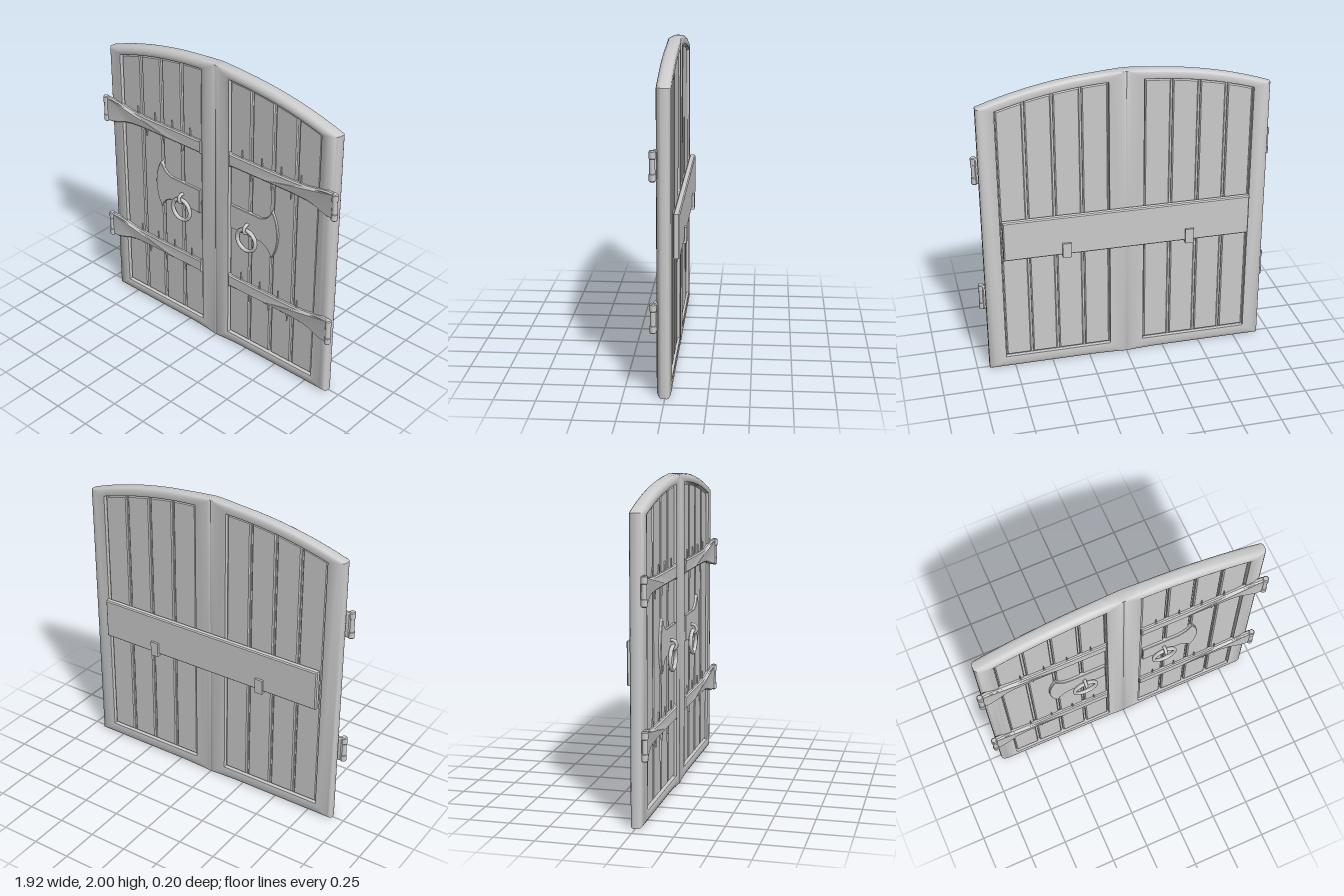
import * as THREE from 'three';
import { toCreasedNormals } from 'three/addons/utils/BufferGeometryUtils.js';

const ARC_R = 2.725;
const archY = (x) => 2 - ARC_R + Math.sqrt(ARC_R * ARC_R - x * x);
const material = new THREE.MeshStandardMaterial({ color: 0xcccccc });
const V2 = (x, y) => new THREE.Vector2(x, y);

// Copy of a non-indexed geometry reflected in x, with the winding corrected
function mirrorX(geo) {
  const g = geo.clone();
  for (const key of ['position', 'normal']) {
    const a = g.attributes[key], src = geo.attributes[key];
    for (let i = 0; i < a.count; i++) {
      const k = i % 3, j = k === 0 ? i : k === 1 ? i + 1 : i - 1;
      a.setXYZ(i, -src.getX(j), src.getY(j), src.getZ(j));
    }
  }
  return g;
}

// Extruded outline whose full depth, bevel included, runs from z0 to z1
function plate(points, z0, z1, bevel = 0.006) {
  const g = new THREE.ExtrudeGeometry(new THREE.Shape(points), {
    depth: z1 - z0 - 2 * bevel, bevelEnabled: true, bevelThickness: bevel,
    bevelSize: bevel, bevelOffset: -bevel, bevelSegments: 1, curveSegments: 10,
  });
  return g.translate(0, 0, z0 + bevel);
}

// Board between x0 and x1 with its top following the arch
function board(x0, x1, y0, drop, z0, z1, bevel) {
  const pts = [V2(x0, y0), V2(x1, y0)];
  const n = 8;
  for (let i = 0; i <= n; i++) {
    const x = x1 + (x0 - x1) * i / n;
    pts.push(V2(x, archY(x) - drop));
  }
  return plate(pts, z0, z1, bevel);
}

// Rounded frame of one leaf: a cross-section swept round the arched outline
function frameGeometry() {
  // [inset from outer edge (0) to opening (1), z]
  const profile = [[1, 0], [1, 0.048], [0.8, 0.052], [0.55, 0.051], [0.32, 0.047], [0.14, 0.038],
    [0.04, 0.028], [0, 0.018], [0, -0.014], [0.05, -0.024], [0.16, -0.031], [0.35, -0.036], [0.8, -0.037], [1, -0.035]];
  const outline = (f) => {
    const x0 = 0.11 * f, x1 = 0.92 - 0.11 * f, y0 = 0.08 * f, n = 20, pts = [];
    for (let i = 0; i <= n; i++) pts.push([x0 + (x1 - x0) * i / n, y0]);
    for (let i = 0; i <= n; i++) {
      const x = x1 + (x0 - x1) * i / n;
      pts.push([x, archY(x) - 0.057 * f]);
    }
    return pts;
  };
  const pos = [], idx = [], count = 42;
  for (const [f, z] of profile) {
    for (const [x, y] of outline(f)) {
      // the rounding is shallow where the two leaves meet
      const w = 0.25 + 0.75 * Math.min(1, x / 0.2);
      const flat = z > 0 ? 0.051 : -0.036;
      pos.push(x, y, f === 1 ? z : flat + (z - flat) * w);
    }
  }
  for (let j = 0; j < profile.length; j++) {
    const k = (j + 1) % profile.length;
    for (let i = 0; i < count; i++) {
      const m = (i + 1) % count;
      const a = j * count + i, b = k * count + i, c = k * count + m, d = j * count + m;
      idx.push(a, b, d, b, c, d);
    }
  }
  const g = new THREE.BufferGeometry();
  g.setAttribute('position', new THREE.Float32BufferAttribute(pos, 3));
  g.setIndex(idx);
  return g;
}

// Hinge strap centred on y = 0, flared and lifted over the frame at the outer end
function strapGeometry() {
  const half = [[0.115, 0.05], [0.135, 0.043], [0.4, 0.042], [0.62, 0.043], [0.72, 0.048],
    [0.78, 0.058], [0.83, 0.074], [0.88, 0.084], [0.935, 0.086]];
  const pts = half.map(([x, y]) => V2(x, -y)).concat(half.slice().reverse().map(([x, y]) => V2(x, y)));
  const g = plate(pts, 0.025, 0.056, 0.008);
  const p = g.attributes.position;
  for (let i = 0; i < p.count; i++) {
    const t = THREE.MathUtils.smoothstep(p.getX(i), 0.74, 0.93);
    p.setZ(i, p.getZ(i) + 0.017 * t);
  }
  return g;
}

export function createModel() {
  const model = new THREE.Group();
  model.name = 'doubleDoor';
  const leaves = [new THREE.Group(), new THREE.Group()];
  leaves[0].name = 'leftLeaf';
  leaves[1].name = 'rightLeaf';
  model.add(...leaves);

  const mesh = (name, geo) => {
    const m = new THREE.Mesh(geo, material);
    m.name = name;
    return m;
  };
  // Add a part to the left leaf and its reflection to the right leaf
  const add = (name, raw, crease = 0.6) => {
    const geo = toCreasedNormals(raw, crease);
    leaves[0].add(mesh(name, geo));
    leaves[1].add(mesh(name, mirrorX(geo)));
  };

  add('frame', frameGeometry(), 0.75);

  // Planks over a thin core that closes the gaps
  add('core', board(0.1, 0.82, 0.07, 0.05, -0.008, 0.015, 0.001));
  const seams = [0.11, 0.285, 0.46, 0.635, 0.81];
  for (let i = 0; i < 4; i++) {
    add('plank', board(seams[i] + 0.007, seams[i + 1] - 0.007, 0.088, 0.065, -0.024, 0.036, 0.007));
  }

  // Strap hinges with barrels and small thorns
  for (const y of [1.403, 0.505]) {
    add('hingeStrap', strapGeometry().translate(0, y, 0));
    const barrel = [V2(0, -0.09), V2(0.015, -0.09), V2(0.02, -0.084), V2(0.02, -0.045), V2(0.017, -0.042),
      V2(0.017, 0.042), V2(0.02, 0.045), V2(0.02, 0.084), V2(0.015, 0.09), V2(0, 0.09)];
    add('hingeBarrel', new THREE.LatheGeometry(barrel, 20).translate(0.938, y, 0.065));
    for (const x of [0.215, 0.37, 0.52, 0.67]) {
      add('upperThorn', plate([V2(x - 0.008, y + 0.03), V2(x + 0.006, y + 0.03), V2(x, y + 0.098)], 0.028, 0.044, 0.001));
    }
    for (const x of [0.29, 0.45, 0.6]) {
      add('lowerThorn', plate([V2(x - 0.012, y - 0.03), V2(x + 0.01, y - 0.03), V2(x - 0.004, y - 0.098)], 0.028, 0.044, 0.001));
    }
  }

  // Axe-shaped handle plate
  const half = new THREE.Path();
  half.moveTo(0.13, 0.085);
  half.lineTo(0.375, 0.085);
  half.quadraticCurveTo(0.44, 0.1, 0.465, 0.17);
  half.quadraticCurveTo(0.51, 0.1, 0.512, 0);
  const top = half.getPoints(10);
  const bottom = top.slice(0, -1).reverse().map((p) => V2(p.x, -p.y));
  add('handlePlate', plate(top.concat(bottom), 0.025, 0.053, 0.003).translate(0, 1, 0));

  // Pull ring hanging from a small loop
  add('handleLoop', new THREE.TorusGeometry(0.029, 0.011, 10, 24).rotateY(Math.PI / 2).translate(0.277, 0.972, 0.062), 1);
  add('pullRing', new THREE.TorusGeometry(0.074, 0.013, 12, 40).translate(0.277, 0.888, 0.067), 1);

  // L-shaped hooks that hold the bar
  add('barHookShelf', new THREE.BoxGeometry(0.055, 0.014, 0.075).translate(0.4, 0.815, -0.0595));
  add('barHookLip', new THREE.BoxGeometry(0.055, 0.1, 0.014).translate(0.4, 0.858, -0.09));

  // Locking bar across the back
  const bar = plate([V2(-0.8, 0.822), V2(0.8, 0.822), V2(0.8, 1.09), V2(-0.8, 1.09)], -0.08, -0.04, 0.007);
  model.add(mesh('lockingBar', toCreasedNormals(bar, 0.6)));

  return model;
}
